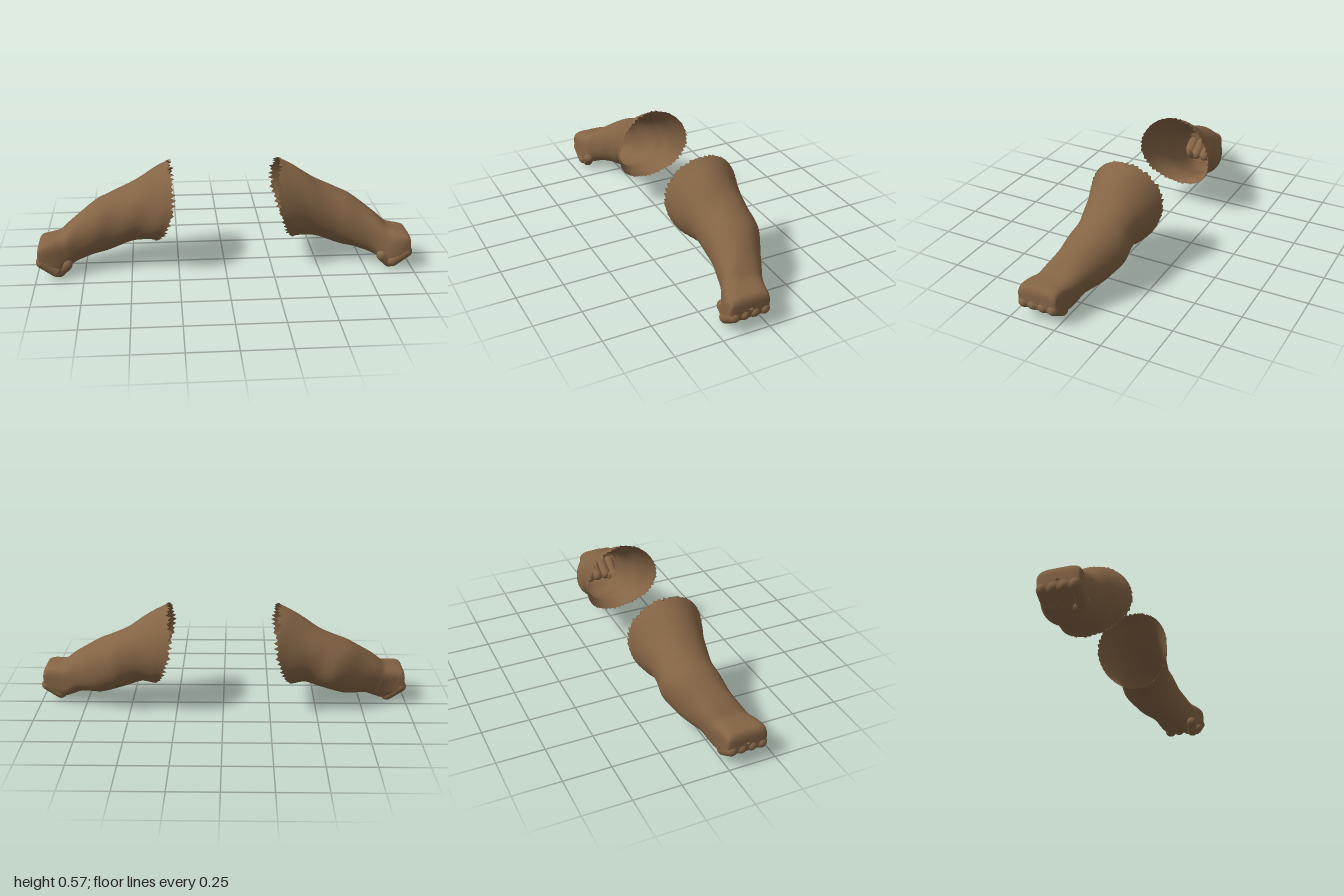
import * as THREE from 'three';

// Cross-sections from shoulder to knuckles:
// top x, top y, bottom x, bottom y, back z, front z, squareness, bow of the sides
const SECTIONS = [
  [0.295, 0.57, 0.37, 0.135, -0.215, 0.198, 2.0, -0.05],
  [0.36, 0.535, 0.4, 0.14, -0.197, 0.178, 2.0, -0.035],
  [0.45, 0.48, 0.45, 0.142, -0.17, 0.147, 2.0, -0.015],
  [0.52, 0.435, 0.5, 0.13, -0.163, 0.13, 2.1, 0],
  [0.6, 0.398, 0.57, 0.105, -0.165, 0.125, 2.1, 0],
  [0.67, 0.37, 0.65, 0.08, -0.14, 0.13, 2.1, 0],
  [0.75, 0.315, 0.72, 0.07, -0.1, 0.14, 2.2, 0],
  [0.82, 0.265, 0.78, 0.06, -0.065, 0.157, 2.4, 0],
  [0.87, 0.22, 0.825, 0.043, -0.042, 0.178, 3.0, 0],
  [0.91, 0.207, 0.86, 0.03, -0.025, 0.197, 4.0, 0],
  [0.95, 0.2, 0.905, 0.035, -0.014, 0.207, 4.5, 0],
  [0.975, 0.19, 0.955, 0.055, -0.008, 0.207, 4.5, 0],
  [0.987, 0.165, 0.985, 0.08, 0.005, 0.195, 4.0, 0],
  [0.988, 0.13, 0.988, 0.12, 0.09, 0.11, 2.0, 0],
];
const RING = 96, STEPS = 5;

function seeded(seed) {
  return () => (seed = (seed * 16807) % 2147483647) / 2147483647;
}

// Smooth interpolation between neighbouring sections
function sectionAt(t) {
  const last = SECTIONS.length - 1;
  const i = Math.min(Math.floor(t), last - 1), f = t - i;
  const at = (k) => SECTIONS[Math.max(0, Math.min(last, k))];
  const [a, b, c, d] = [at(i - 1), at(i), at(i + 1), at(i + 2)];
  return b.map((v, k) => v + 0.5 * f * (c[k] - a[k]
    + f * (2 * a[k] - 5 * v + 4 * c[k] - d[k] + f * (3 * (v - c[k]) + d[k] - a[k]))));
}

function armGeometry() {
  const pos = [], index = [], rand = seeded(41);
  const rows = (SECTIONS.length - 1) * STEPS;
  const bend = (v, n) => Math.sign(v) * Math.pow(Math.abs(v), 2 / n);
  for (let r = 0; r <= rows; r++) {
    const t = r / STEPS;
    const [tx, ty, bx, by, zb, zf, n, bow] = sectionAt(t);
    for (let j = 0; j < RING; j++) {
      const a = (j / RING) * Math.PI * 2;
      const w = bend(Math.cos(a), n), v = bend(Math.sin(a), n);
      // Gentle muscle lumps on the arm
      const lump = t < 8 ? 1 + 0.012 * Math.sin(t * 2.6 + 3 * a) * Math.min(1, t) : 1;
      let x = (tx + bx) / 2 + v * (tx - bx) / 2 + bow * w * w;
      // Ragged tufts along the open shoulder edge
      if (r === 0) x += (j % 2 ? -1 : 1) * 0.016 * rand();
      pos.push(x, (ty + by) / 2 + lump * v * (ty - by) / 2,
        (zb + zf) / 2 + lump * w * (zf - zb) / 2);
      if (r < rows) {
        const p = r * RING + j, q = r * RING + (j + 1) % RING;
        index.push(p, p + RING, q, q, p + RING, q + RING);
      }
    }
  }
  const g = new THREE.BufferGeometry();
  g.setAttribute('position', new THREE.Float32BufferAttribute(pos, 3));
  // Wind the faces outward
  for (let i = 0; i < index.length; i += 3) [index[i + 1], index[i + 2]] = [index[i + 2], index[i + 1]];
  g.setIndex(index);
  g.computeVertexNormals();
  return g;
}

// Rounded segment between two points
function segment(name, from, to, radius, material) {
  const a = new THREE.Vector3(...from), b = new THREE.Vector3(...to);
  const d = b.clone().sub(a);
  const m = new THREE.Mesh(new THREE.CapsuleGeometry(radius, d.length(), 8, 16), material);
  m.name = name;
  m.position.copy(a).add(b).multiplyScalar(0.5);
  m.quaternion.setFromUnitVectors(new THREE.Vector3(0, 1, 0), d.normalize());
  return m;
}

function createArm(name, material) {
  const arm = new THREE.Group();
  arm.name = name;
  const limb = new THREE.Mesh(armGeometry(), material);
  limb.name = 'forearmAndFist';
  arm.add(limb);
  // Curled fingers: knuckle to fingertip
  [0.02, 0.073, 0.128, 0.18].forEach((z, i) => {
    const drop = [0.004, 0, 0, 0.008][i];
    arm.add(segment('finger' + (i + 1), [0.967, 0.095, z], [0.895, 0.051 - drop, z], 0.031, material));
  });
  // Thumb tucked under the fist
  arm.add(segment('thumb', [0.84, 0.07, 0.165], [0.88, 0.03, 0.16], 0.03, material));
  return arm;
}

export function createModel() {
  const skin = new THREE.MeshStandardMaterial({ color: 0x846445, side: THREE.DoubleSide });
  skin.name = 'brown skin';
  const model = new THREE.Group();
  model.name = 'pairOfArms';
  const left = createArm('leftArm', skin);
  const right = createArm('rightArm', skin);
  right.scale.x = -1;
  model.add(left, right);
  return model;
}
